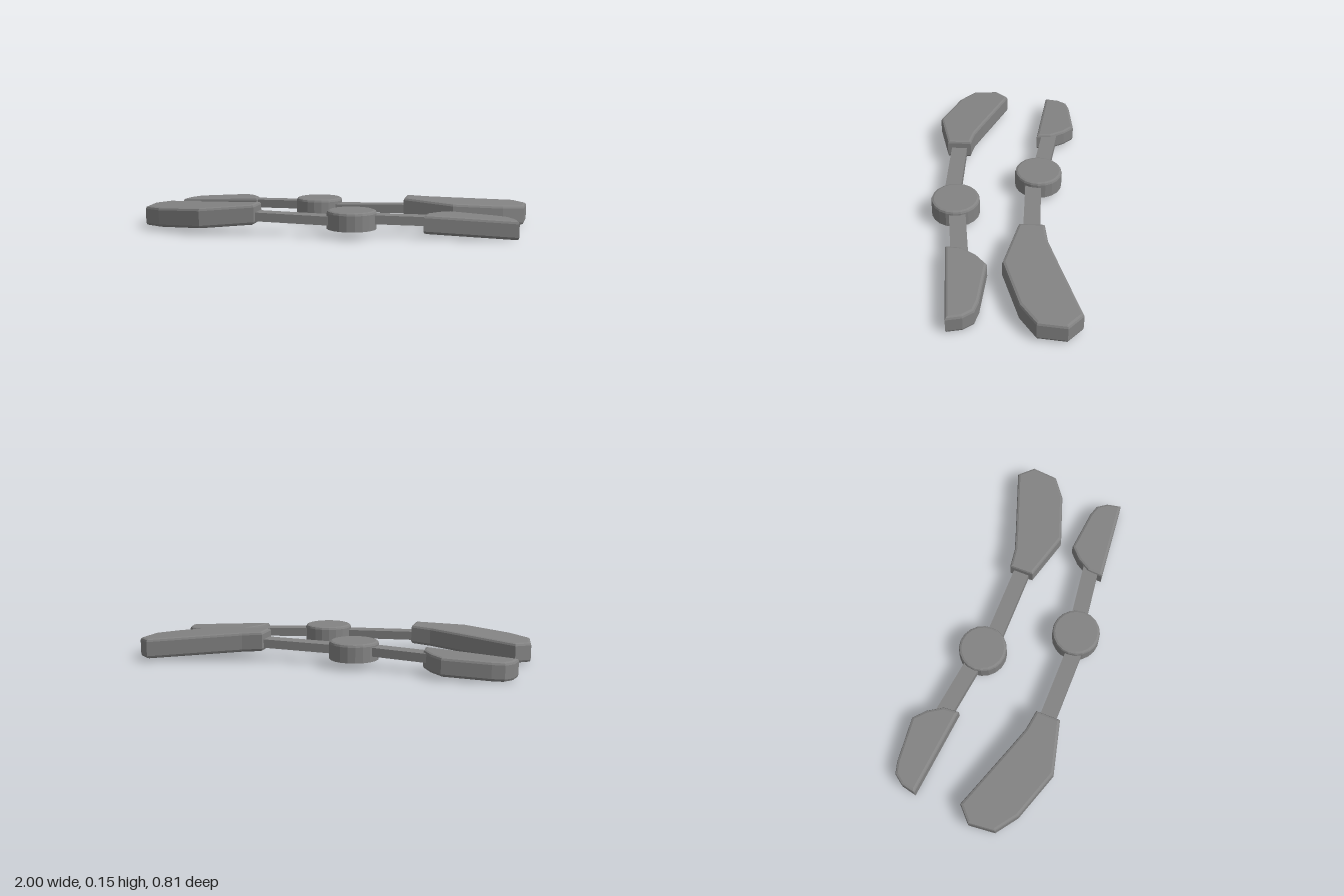
import * as THREE from 'three';

const material = new THREE.MeshStandardMaterial({ color: 0x838383, flatShading: true });

// Plan outlines as [x, z]
const LARGE_PAD = [[-1, 0.095], [-0.926, 0.024], [-0.57, 0.152], [-0.46, 0.19], [-0.353, 0.206],
  [-0.353, 0.336], [-0.62, 0.404], [-0.877, 0.315], [-0.986, 0.234]];
const SMALL_PAD = [[0.61, 0.048], [0.845, 0.069], [0.906, 0.086], [0.943, 0.136], [0.959, 0.213],
  [0.496, 0.261], [0.502, 0.179], [0.55, 0.103]];

// Rounded edge in two steps: [inset, height] as shares of the edge radius
const EDGE = [[0, 1], [0.293, 0.293], [1, 0]];

// Move every side of a counter-clockwise outline inwards by d
function inset(points, d) {
  const n = points.length;
  const normal = (a, b) => new THREE.Vector2(a.y - b.y, b.x - a.x).normalize();
  return points.map((p, i) => {
    const n1 = normal(points[(i + n - 1) % n], p);
    const n2 = normal(p, points[(i + 1) % n]);
    return n1.clone().add(n2).multiplyScalar(d / (1 + n1.dot(n2))).add(p);
  });
}

// Slab with rounded rims; its faces drop by slope per unit of |x| beyond x0
function slab(outline, side, { x0, slope, bottom, top, radius }) {
  let base = outline.map(([x, z]) => new THREE.Vector2(x * side, -z));
  if (THREE.ShapeUtils.area(base) < 0) base = base.reverse();
  const ring = (d, y) => inset(base, d).map((p) => [p.x, y - slope * (Math.abs(p.x) - x0), -p.y]);
  const rings = [
    ...EDGE.map(([d, h]) => ring(d * radius, bottom + h * radius)).reverse(),
    ...EDGE.map(([d, h]) => ring(d * radius, top - h * radius)),
  ];
  const pos = [];
  const n = base.length;
  const last = rings.length - 1;
  for (let r = 0; r < last; r++) {
    for (let i = 0; i < n; i++) {
      const j = (i + 1) % n;
      const [a, b, c, d] = [rings[r][i], rings[r][j], rings[r + 1][j], rings[r + 1][i]];
      pos.push(...a, ...b, ...c, ...a, ...c, ...d);
    }
  }
  for (const [a, b, c] of THREE.ShapeUtils.triangulateShape(base, [])) {
    pos.push(...rings[last][a], ...rings[last][b], ...rings[last][c]);
    pos.push(...rings[0][c], ...rings[0][b], ...rings[0][a]);
  }
  const geometry = new THREE.BufferGeometry();
  geometry.setAttribute('position', new THREE.Float32BufferAttribute(pos, 3));
  geometry.computeVertexNormals();
  return geometry;
}

// Straight bar between two points
function bar(from, to, height, width) {
  const a = new THREE.Vector3(...from), b = new THREE.Vector3(...to);
  const geometry = new THREE.BoxGeometry(width, height, a.distanceTo(b));
  const holder = new THREE.Object3D();
  holder.position.copy(a).add(b).multiplyScalar(0.5);
  holder.lookAt(b);
  holder.updateMatrix();
  return geometry.applyMatrix4(holder.matrix);
}

// One arm: hub, two bars and two pads; side = -1 mirrors it in x
function makeArm(name, side) {
  const arm = new THREE.Group();
  arm.name = name;
  const add = (partName, geometry) => {
    const mesh = new THREE.Mesh(geometry, material);
    mesh.name = partName;
    arm.add(mesh);
  };

  // Round hub with a rounded top rim
  const rim = EDGE.map(([d, h]) => [0.127 - d * 0.014, 0.134 - h * 0.014]);
  const profile = [[0, 0.04], [0.127, 0.04], ...rim, [0, 0.134]];
  const hub = new THREE.LatheGeometry(profile.map(([x, y]) => new THREE.Vector2(x, y)), 20);
  add('hub', hub.translate(0.133 * side, 0, 0.245));

  // Connecting bars
  add('longBar', bar([-0.4 * side, 0.093, 0.271], [0.08 * side, 0.082, 0.271], 0.045, 0.085));
  add('shortBar', bar([0.18 * side, 0.092, 0.234], [0.56 * side, 0.083, 0.184], 0.045, 0.085));

  // Pads, sloping down towards their tips
  add('largePad', slab(LARGE_PAD, side, { x0: 0.353, slope: 0.064, bottom: 0.054, top: 0.157, radius: 0.014 }));
  add('smallPad', slab(SMALL_PAD, side, { x0: 0.5, slope: 0.05, bottom: 0.025, top: 0.12, radius: 0.014 }));
  return arm;
}

export function createModel() {
  const model = new THREE.Group();
  model.name = 'pairOfPaddedArms';
  const front = makeArm('frontArm', 1);
  const back = makeArm('backArm', -1);
  back.position.z = -0.428;
  model.add(front, back);
  return model;
}
